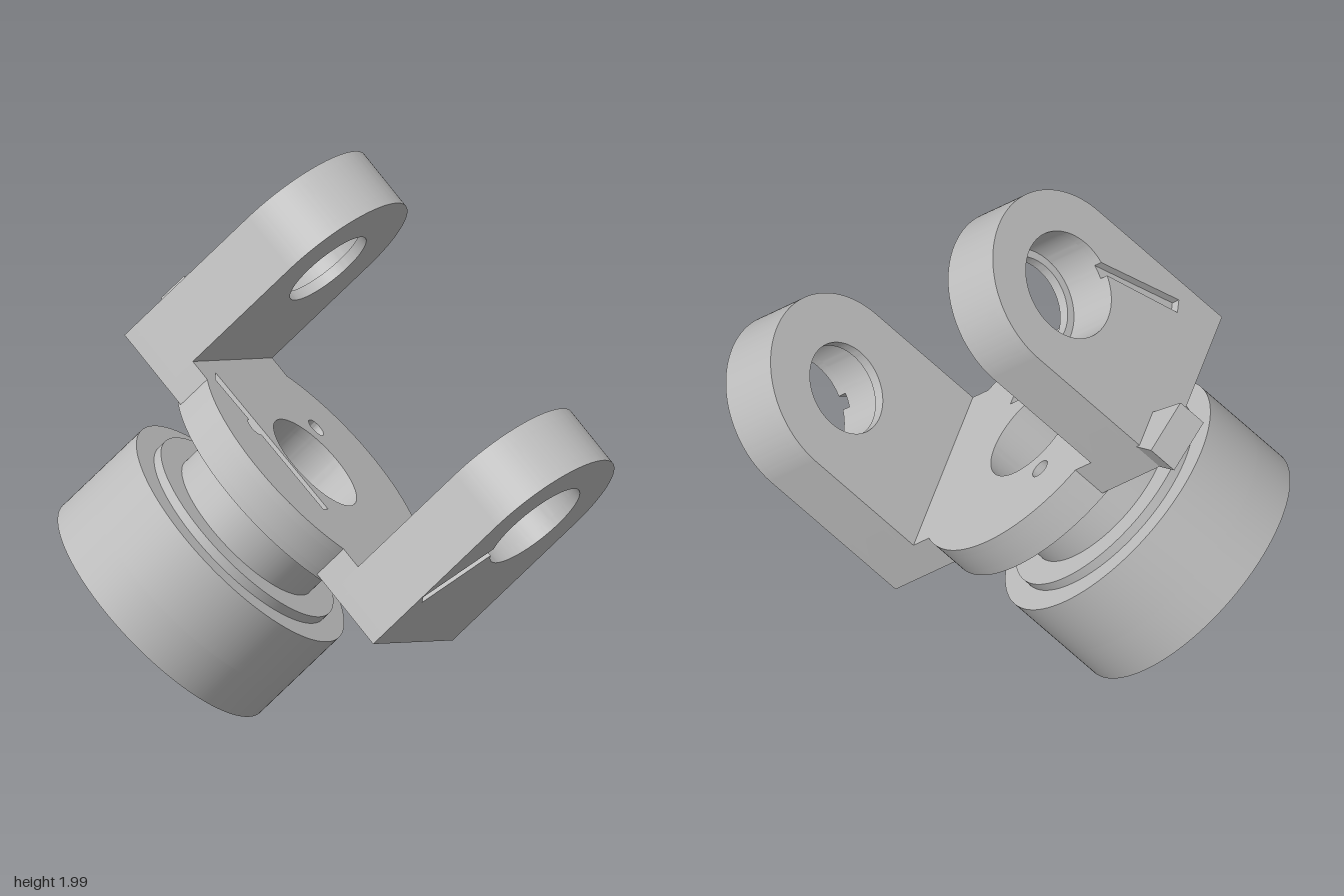
import * as THREE from 'three';
import { toCreasedNormals } from 'three/addons/utils/BufferGeometryUtils.js';

const TAU = Math.PI * 2;
const HALF = 0.349;                 // half width of a lug
const BORE = 0.2;

const steel = new THREE.MeshStandardMaterial({ color: 0xc0c0c0 });
steel.name = 'steel grey';

function mesh(name, geometry) {
  const m = new THREE.Mesh(geometry, steel);
  m.name = name;
  return m;
}

function circle(r, x = 0, y = 0) {
  const p = new THREE.Path();
  p.absarc(x, y, r, 0, TAU, false);
  return p;
}

function extrude(shape, depth) {
  const g = new THREE.ExtrudeGeometry(shape, { depth, bevelEnabled: false, curveSegments: 64 });
  return toCreasedNormals(g, 0.5);
}

// Slab across the shaft axis, from height y0 to y1; shape y points to -z
function slab(name, shape, y0, y1) {
  const g = extrude(shape, y1 - y0);
  g.rotateX(-Math.PI / 2);
  g.translate(0, y0, 0);
  return mesh(name, g);
}

function disc(name, r, y0, y1, holes) {
  const s = new THREE.Shape();
  s.absarc(0, 0, r, 0, TAU, false);
  s.holes.push(...holes);
  return slab(name, s, y0, y1);
}

// Pin bore joined to an oil slot that leaves at angle t for the point (ex, ey)
function slottedBore(r, t, ex, ey) {
  const w = 0.025, d = Math.asin(w / r);
  const dx = ex - r * Math.cos(t), dy = ey - r * Math.sin(t);
  const len = Math.hypot(dx, dy);
  const nx = (-dy / len) * w, ny = (dx / len) * w;
  const p = new THREE.Path();
  p.absarc(0, 0, r, t + d, t - d + TAU, false);
  p.lineTo(ex - nx, ey - ny);
  p.lineTo(ex + nx, ey + ny);
  p.closePath();
  return p;
}

// One round-topped ear, stacked from a lip, a body and a slotted outer skin
function lug(name, side, slotAngle, ex, ey) {
  const g = new THREE.Group();
  g.name = name;
  const layers = [
    ['lugLip', 0.475, 0.515, circle(0.168)],
    ['lugBody', 0.515, 0.68, circle(0.197)],
    ['lugSkin', 0.68, 0.715, slottedBore(0.197, slotAngle, ex, ey)],
  ];
  for (const [part, z0, z1, hole] of layers) {
    const s = new THREE.Shape();
    s.moveTo(-HALF, -0.62);
    s.lineTo(HALF, -0.62);
    s.lineTo(HALF, 0);
    s.absarc(0, 0, HALF, 0, Math.PI, false);
    s.closePath();
    s.holes.push(hole);
    const geo = extrude(s, z1 - z0);
    geo.translate(0, 0, side > 0 ? z0 : -z1);
    g.add(mesh(part, geo));
  }
  // Foot joining the ear to the round flange
  const f = new THREE.Shape();
  const a = Math.acos(HALF / 0.48);
  f.moveTo(-HALF, 0.71);
  f.lineTo(-HALF, 0.48 * Math.sin(a));
  f.absarc(0, 0, 0.48, Math.PI - a, a, true);
  f.lineTo(HALF, 0.71);
  f.closePath();
  const foot = slab('lugFoot', f, -0.62, -0.485);
  if (side > 0) foot.rotation.y = Math.PI;
  g.add(foot);
  return g;
}

export function createModel() {
  const yoke = new THREE.Group();
  yoke.name = 'yoke';

  // Ears with pin bores
  yoke.add(lug('frontLug', 1, -2.36, -0.32, -0.385));
  yoke.add(lug('rearLug', -1, -2.55, -0.255, -0.44));

  // Skewed stop tab on the back of the rear ear
  const tab = new THREE.Shape();
  tab.moveTo(0.19, 0.7);
  tab.lineTo(0.35, 0.7);
  tab.lineTo(0.41, 0.805);
  tab.lineTo(0.213, 0.873);
  tab.closePath();
  yoke.add(slab('stopTab', tab, -0.62, -0.504));

  // Flange: slotted skin, drilled plate, rim around a shallow recess
  const slot = new THREE.Path();
  slot.moveTo(-0.209, -0.21);
  slot.lineTo(-0.232, 0.42);
  slot.lineTo(-0.282, 0.42);
  slot.lineTo(-0.267, 0.206);
  slot.absarc(-0.265, 0.17, 0.036, Math.PI / 2, Math.PI * 1.5, false);
  slot.lineTo(-0.25, -0.21);
  slot.closePath();
  const leftHole = circle(0.036, -0.265, 0.17);
  const rightHole = circle(0.036, 0.245, 0.155);
  yoke.add(disc('flangeSkin', 0.525, -0.52, -0.485, [circle(BORE), slot, rightHole]));
  yoke.add(disc('flangePlate', 0.525, -0.6, -0.52, [circle(BORE), leftHole, rightHole]));
  yoke.add(disc('flangeRim', 0.525, -0.63, -0.6, [circle(0.43)]));

  // Neck, key, raised collar
  yoke.add(disc('neck', 0.315, -0.83, -0.6, [circle(BORE)]));
  const key = mesh('neckKey', new THREE.BoxGeometry(0.18, 0.07, 0.13));
  key.position.set(-0.05, -0.625, -0.34);
  yoke.add(key);
  yoke.add(disc('collar', 0.415, -0.865, -0.83, [circle(BORE)]));

  // Hub with three screw holes and a small dowel hole in its end
  const ends = [circle(BORE), circle(0.02, -0.195, -0.23)];
  for (let k = 0; k < 3; k++) {
    const t = Math.PI + k * TAU / 3;
    ends.push(circle(0.036, 0.41 * Math.cos(t), 0.41 * Math.sin(t)));
  }
  yoke.add(disc('hubEnd', 0.5, -1.265, -1.1, ends));
  yoke.add(disc('hub', 0.5, -1.1, -0.865, [circle(BORE)]));

  // Tilt the whole yoke into its resting pose
  const X = new THREE.Vector3(0.902, -0.229, -0.365).normalize();
  const Z = new THREE.Vector3().crossVectors(X, new THREE.Vector3(0.412, 0.715, 0.565)).normalize();
  const Y = new THREE.Vector3().crossVectors(Z, X);
  yoke.quaternion.setFromRotationMatrix(new THREE.Matrix4().makeBasis(X, Y, Z));
  yoke.position.set(0.265, 1.262, 0.174);

  const model = new THREE.Group();
  model.name = 'shaftYoke';
  model.add(yoke);
  return model;
}
